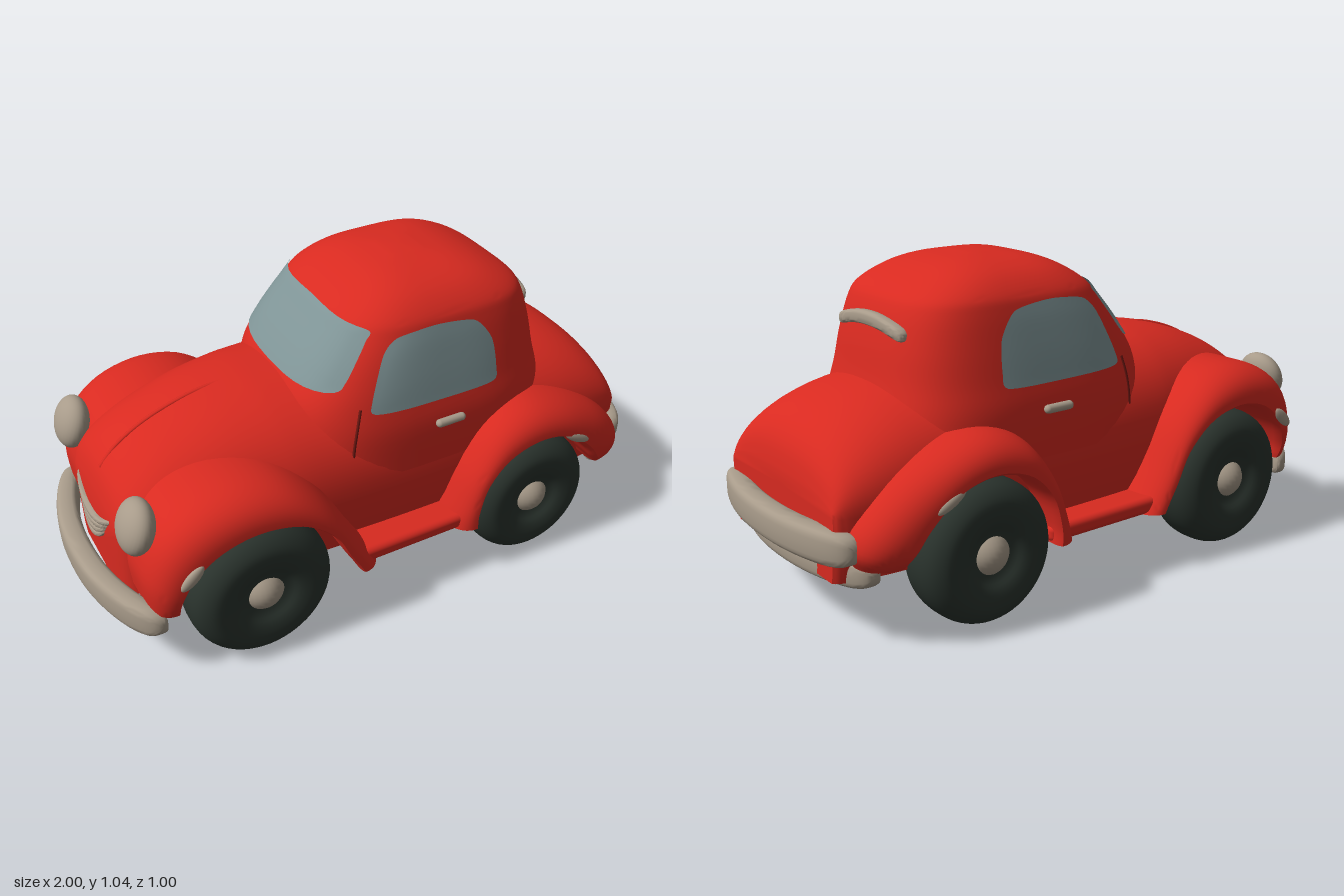
import * as THREE from 'three';
import { toCreasedNormals } from 'three/addons/utils/BufferGeometryUtils.js';
import { RoundedBoxGeometry } from 'three/addons/geometries/RoundedBoxGeometry.js';

const material = (name, color, side = THREE.FrontSide) => {
  const m = new THREE.MeshStandardMaterial({ color, side });
  m.name = name;
  return m;
};
const V = (x, y, z) => new THREE.Vector3(x, y, z);
const spow = (v, p) => Math.sign(v) * Math.abs(v) ** p;

// Closed loft through rings of points, capped at both ends and wound outward
function loft(rings, crease = 0.75) {
  const n = rings[0].length, pos = [], idx = [];
  rings.forEach(r => r.forEach(p => pos.push(p.x, p.y, p.z)));
  for (let i = 0; i < rings.length - 1; i++)
    for (let j = 0; j < n; j++) {
      const a = i * n + j, b = i * n + (j + 1) % n;
      idx.push(a, b, a + n, b, b + n, a + n);
    }
  [0, rings.length - 1].forEach((i, end) => {
    const c = rings[i].reduce((s, p) => s.add(p), V(0, 0, 0)).divideScalar(n);
    const k = pos.length / 3;
    pos.push(c.x, c.y, c.z);
    for (let j = 0; j < n; j++) {
      const a = i * n + j, b = i * n + (j + 1) % n;
      end ? idx.push(a, b, k) : idx.push(b, a, k);
    }
  });
  const at = i => V(pos[3 * i], pos[3 * i + 1], pos[3 * i + 2]);
  let volume = 0;
  for (let i = 0; i < idx.length; i += 3)
    volume += at(idx[i]).dot(at(idx[i + 1]).cross(at(idx[i + 2])));
  if (volume < 0) idx.reverse();
  const g = new THREE.BufferGeometry();
  g.setAttribute('position', new THREE.Float32BufferAttribute(pos, 3));
  g.setIndex(idx);
  return toCreasedNormals(g, crease);
}

const spline = pts => new THREE.SplineCurve(pts.map(p => new THREE.Vector2(...p)));

// Piecewise linear lookup in rows of [key, ...values]
function lookup(rows, key) {
  let i = 0;
  while (i < rows.length - 2 && key > rows[i + 1][0]) i++;
  const t = THREE.MathUtils.clamp((key - rows[i][0]) / (rows[i + 1][0] - rows[i][0]), 0, 1);
  return rows[i].map((v, k) => v + (rows[i + 1][k] - v) * t);
}
// Smooth a coarse table by sampling splines through it
function refine(rows, steps) {
  const cols = rows[0].map((_, k) => spline(rows.map((r, i) => [i, r[k]])));
  return Array.from({ length: steps + 1 }, (_, i) => cols.map(c => c.getPoint(i / steps).y));
}

// Cabin table: height, front x, rear x, half width
const cabin = refine([
  [0.45, -0.30, 0.68, 0.386], [0.6, -0.30, 0.65, 0.384], [0.7, -0.285, 0.625, 0.367], [0.8, -0.225, 0.605, 0.347],
  [0.9, -0.145, 0.575, 0.323], [0.95, -0.10, 0.54, 0.302], [1.0, -0.02, 0.45, 0.245],
  [1.03, 0.06, 0.36, 0.165], [1.045, 0.15, 0.26, 0.06]], 40);
const N = 3.5;
const cabinSide = (x, y) => {
  const [, f, r, w] = lookup(cabin, y);
  const u = Math.min(1, Math.abs((x - (f + r) / 2) / ((r - f) / 2)));
  return w * (1 - u ** N) ** (1 / N);
};
const cabinFront = (z, y) => {
  const [, f, r, w] = lookup(cabin, y);
  return (f + r) / 2 - (r - f) / 2 * (1 - Math.min(1, Math.abs(z / w)) ** N) ** (1 / N);
};

// Thin pane: concentric rings of an outline laid onto a surface
function pane(outline, place) {
  const n = 72, rings = 10, pos = [], idx = [];
  const curve = new THREE.CatmullRomCurve3(outline.map(p => V(p[0], p[1], 0)), true, 'catmullrom', 0.35);
  const pts = curve.getPoints(n).slice(0, n);
  const c = pts.reduce((s, p) => s.add(p), V(0, 0, 0)).divideScalar(n);
  for (let i = 0; i <= rings; i++)
    pts.forEach(p => {
      const q = c.clone().lerp(p, Math.max(i / rings, 0.001));
      pos.push(...place(q.x, q.y));
    });
  for (let i = 0; i < rings; i++)
    for (let j = 0; j < n; j++) {
      const a = i * n + j, b = i * n + (j + 1) % n;
      idx.push(a, a + n, b, b, a + n, b + n);
    }
  const g = new THREE.BufferGeometry();
  g.setAttribute('position', new THREE.Float32BufferAttribute(pos, 3));
  g.setIndex(idx);
  g.computeVertexNormals();
  return g;
}

// Rounded bar running across the car: centre bows by dx and dy toward its ends
function bar(x, y, half, dx, dy, tx, ty) {
  const rings = [];
  for (let i = 0; i <= 32; i++) {
    const t = -Math.cos(Math.PI * i / 32) * 0.999, s = (1 - Math.abs(t) ** 14) ** 0.4;
    rings.push(Array.from({ length: 24 }, (_, j) => {
      const a = j / 24 * Math.PI * 2;
      return V(x + dx * Math.abs(t) ** 2.2 + tx * s * spow(Math.cos(a), 0.55),
        y + dy * t * t + ty * s * spow(Math.sin(a), 0.55), half * t);
    }));
  }
  return loft(rings);
}

// Fender swept between a wheel arch and an outer crown line
function fender(inner, outer, side, taperEnd) {
  const ci = spline(inner), co = spline(outer), rings = [], steps = 40;
  for (let i = 0; i <= steps; i++) {
    const t = i / steps, p = ci.getPoint(t), q = co.getPoint(t);
    const e = taperEnd ? t : 1 - t, zMax = 0.5 - 0.06 * e ** 5;
    const section = [[0, 0.2], [0, zMax - 0.03], [0.04, zMax - 0.01]];
    for (let k = 0; k <= 12; k++) {
      const a = k / 12 * Math.PI / 2;
      section.push([0.1 + 0.9 * Math.sin(a) ** 0.85, 0.33 + (zMax - 0.33) * Math.cos(a) ** 0.8]);
    }
    section.push([1, 0.2]);
    rings.push(section.map(([f, z]) => V(p.x + (q.x - p.x) * f, p.y + (q.y - p.y) * f, z * side)));
  }
  return loft(rings);
}

export function createModel() {
  const car = new THREE.Group();
  car.name = 'car';
  const red = material('red paint', 0xd82a20), tan = material('tan trim', 0xa89b8a);
  const rubber = material('dark rubber', 0x2a332d), seam = material('dark red seam', 0x6e1711);
  const glass = material('grey blue glass', 0x7f9496, THREE.DoubleSide);
  const add = (name, geometry, mat, x = 0, y = 0, z = 0) => {
    const m = new THREE.Mesh(geometry, mat);
    m.name = name;
    m.position.set(x, y, z);
    car.add(m);
    return m;
  };

  // Lower body, hood and trunk: x, top height, half width
  const body = refine([
    [-0.905, 0.40, 0.12], [-0.89, 0.47, 0.21], [-0.86, 0.54, 0.26], [-0.8, 0.6, 0.29], [-0.7, 0.66, 0.31],
    [-0.55, 0.71, 0.335], [-0.4, 0.732, 0.358], [-0.28, 0.735, 0.372], [0, 0.735, 0.384], [0.3, 0.72, 0.386],
    [0.6, 0.69, 0.384], [0.75, 0.652, 0.375], [0.85, 0.595, 0.36], [0.9, 0.53, 0.345], [0.92, 0.45, 0.33]], 56);
  add('body', loft(body.map(([x, top, w]) => {
    const mid = Math.min(0.4, top - 0.05), ring = [V(x, 0.2, w * 0.93), V(x, 0.3, w * 0.98)];
    for (let k = 0; k <= 32; k++) {
      const a = k / 32 * Math.PI;
      ring.push(V(x, mid + (top - mid) * Math.sin(a) ** (2 / 2.4), w * spow(Math.cos(a), 2 / 2.4)));
    }
    ring.push(V(x, 0.3, -w * 0.98), V(x, 0.2, -w * 0.93));
    return ring;
  })), red);
  add('hoodRidge', new THREE.TubeGeometry(new THREE.CatmullRomCurve3(
    [V(-0.86, 0.535, 0), V(-0.8, 0.598, 0), V(-0.7, 0.658, 0), V(-0.55, 0.707, 0), V(-0.42, 0.722, 0)]), 24, 0.008, 8), red);

  // Cabin and its windows
  add('cabin', loft(cabin.map(([y, f, r, w]) => Array.from({ length: 72 }, (_, j) => {
    const a = j / 72 * Math.PI * 2;
    return V((f + r) / 2 + (r - f) / 2 * spow(Math.cos(a), 2 / N), y, w * spow(Math.sin(a), 2 / N));
  })), 1.0), red);
  add('windshield', pane([[-0.27, 0.755], [0, 0.745], [0.27, 0.755], [0.295, 0.79], [0.275, 0.9], [0.25, 0.935],
    [0, 0.945], [-0.25, 0.935], [-0.275, 0.9], [-0.295, 0.79]], (z, y) => [cabinFront(z, y) - 0.006, y + 0.003, z]), glass);

  const frontInner = [[-0.79, 0.25], [-0.785, 0.31], [-0.74, 0.40], [-0.65, 0.47], [-0.53, 0.495],
    [-0.4, 0.465], [-0.3, 0.385], [-0.25, 0.29], [-0.215, 0.23], [-0.2, 0.2]];
  const frontOuter = [[-0.87, 0.25], [-0.875, 0.38], [-0.825, 0.515], [-0.72, 0.597], [-0.57, 0.628],
    [-0.42, 0.595], [-0.29, 0.49], [-0.2, 0.34], [-0.145, 0.25], [-0.11, 0.2]];
  const rearInner = [[0.25, 0.2], [0.25, 0.26], [0.28, 0.36], [0.36, 0.44], [0.48, 0.47],
    [0.6, 0.44], [0.69, 0.36], [0.73, 0.3], [0.75, 0.27], [0.76, 0.25]];
  const rearOuter = [[0.15, 0.2], [0.175, 0.28], [0.23, 0.42], [0.32, 0.54], [0.45, 0.59],
    [0.6, 0.565], [0.75, 0.49], [0.86, 0.39], [0.895, 0.31], [0.87, 0.25]];

  const tyre = r => {
    const half = [[0.05, 0.075], [0.08, 0.082], [0.11, 0.098], [0.15, 0.105], [0.185, 0.1], [0.215, 0.078], [0.231, 0.045], [0.235, 0]];
    const all = [...half, ...half.slice(0, -1).reverse().map(([a, b]) => [a, -b])].reverse();
    return new THREE.LatheGeometry(spline(all.map(([a, b]) => [a * r / 0.235, b])).getPoints(42), 56).rotateX(Math.PI / 2);
  };

  for (const s of [1, -1]) {
    const side = s > 0 ? 'left' : 'right';
    add(side + 'Window', pane([[-0.08, 0.69], [0.13, 0.683], [0.345, 0.685], [0.362, 0.73], [0.35, 0.83], [0.29, 0.905],
      [0.15, 0.925], [0.02, 0.912], [-0.035, 0.865], [-0.09, 0.73]],
    (x, y) => [x, y, s * (cabinSide(x, y) + 0.006)]), glass);
    add(side + 'FrontFender', fender(frontInner, frontOuter, s, false), red);
    add(side + 'RearFender', fender(rearInner, rearOuter, s, true), red);

    // Wheels with domed hubs
    for (const [name, x, r] of [['Front', -0.525, 0.238], ['Rear', 0.48, 0.225]]) {
      add(side + name + 'Tyre', tyre(r), rubber, x, r, s * 0.393);
      add(side + name + 'Hub', new THREE.SphereGeometry(0.085, 32, 20).scale(1, 1, 1.28), tan, x, r, s * 0.393);
    }

    // Lamps, marker trims, door handle and door seam
    add(side + 'Headlight', new THREE.SphereGeometry(0.088, 32, 20).scale(0.6, 1, 1), tan, -0.857, 0.52, s * 0.3).rotation.z = -0.33;
    add(side + 'FrontMarker', new THREE.SphereGeometry(0.05, 20, 12).scale(1, 0.4, 0.25), tan, -0.762, 0.42, s * 0.486).rotation.z = 0.75;
    add(side + 'RearMarker', new THREE.SphereGeometry(0.06, 20, 12).scale(1, 0.3, 0.25), tan, 0.635, 0.432, s * 0.486).rotation.z = -0.5;
    add(side + 'DoorHandle', new THREE.CapsuleGeometry(0.014, 0.08, 6, 14).rotateZ(Math.PI / 2), tan, 0.175, 0.605, s * 0.395);
    add(side + 'DoorSeam', new THREE.TubeGeometry(new THREE.CatmullRomCurve3(
      [[-0.125, 0.71], [-0.14, 0.65], [-0.152, 0.58], [-0.157, 0.5]].map(([x, y]) => V(x, y, s * cabinSide(x, y)))), 16, 0.005, 8), seam);
  }

  // Running boards joined under the floor
  add('runningBoards', new RoundedBoxGeometry(0.46, 0.055, 0.94, 4, 0.02), red, 0.025, 0.227, 0);

  // Bumpers and rear air vent
  add('frontBumper', bar(-0.962, 0.215, 0.43, 0.115, 0, 0.038, 0.056), tan);
  add('upperRearBumper', bar(0.962, 0.313, 0.395, -0.075, 0, 0.038, 0.053), tan);
  add('lowerRearBumper', bar(0.905, 0.222, 0.39, -0.08, 0, 0.038, 0.043), tan);
  add('rearVent', bar(0.59, 0.868, 0.188, -0.006, -0.03, 0.022, 0.021), tan);

  // Smile-shaped grille slats
  [0.385, 0.36, 0.335, 0.31].forEach((y, i) => add('grilleSlat' + (i + 1),
    bar(-0.904, y, 0.155 - 0.008 * i, 0.022, 0.435 - y - 0.012 * i, 0.018, 0.011), tan));
  return car;
}
